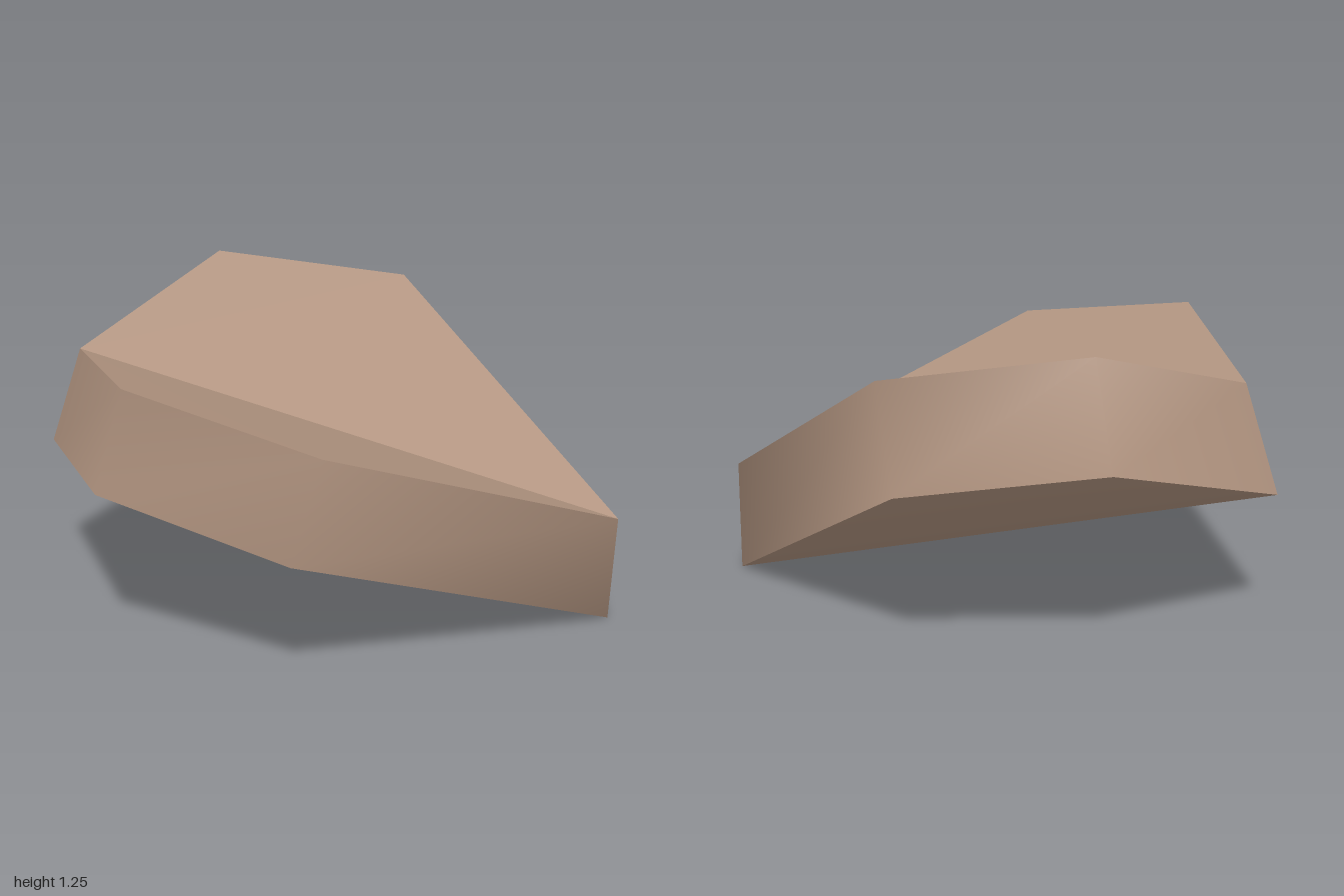
import * as THREE from 'three';

// Corner loop, starting and ending at the seam corner of the fold
const topLoop = [
  [-0.89, 1.0, -0.36], [-0.25, 1.245, -0.75], [0.49, 1.135, -0.575],
  [0.995, 0.44, 0.54], [-0.265, 0.95, 0.9], [-0.855, 1.095, 0.43],
];
const bottomLoop = [
  [-1, 0.595, -0.47], [-0.29, 0.865, -0.9], [0.45, 0.753, -0.72],
  [1, 0, 0.49], [-0.37, 0.555, 0.875], [-0.96, 0.7, 0.4],
];

function surface(points, index) {
  const g = new THREE.BufferGeometry();
  g.setAttribute('position', new THREE.Float32BufferAttribute(points.flat(), 3));
  g.setIndex(index);
  g.computeVertexNormals();
  return g;
}

export function createModel() {
  const group = new THREE.Group();
  group.name = 'foldedSlab';
  const brown = new THREE.MeshStandardMaterial({ color: 0xb0937f });
  brown.name = 'brown';
  const add = (name, geometry) => {
    const mesh = new THREE.Mesh(geometry, brown);
    mesh.name = name;
    group.add(mesh);
  };

  // Two flat upper panels meeting in a sharp valley
  const pick = (ids) => ids.map((i) => topLoop[i]);
  add('backTopPanel', surface(pick([0, 3, 2, 1]), [0, 1, 2, 0, 2, 3]));
  add('frontTopPanel', surface(pick([0, 5, 4, 3]), [0, 1, 2, 0, 2, 3]));

  // Underside, smooth across the fold
  const under = [];
  for (let i = 1; i < 5; i++) under.push(0, i, i + 1);
  add('underside', surface(bottomLoop, under));

  // Rim wall, smooth around the loop with one hard seam
  const points = [], wall = [];
  for (let i = 0; i <= 6; i++) points.push(topLoop[i % 6], bottomLoop[i % 6]);
  for (let i = 0; i < 12; i += 2) wall.push(i, i + 2, i + 3, i, i + 3, i + 1);
  add('rimWall', surface(points, wall));

  return group;
}
